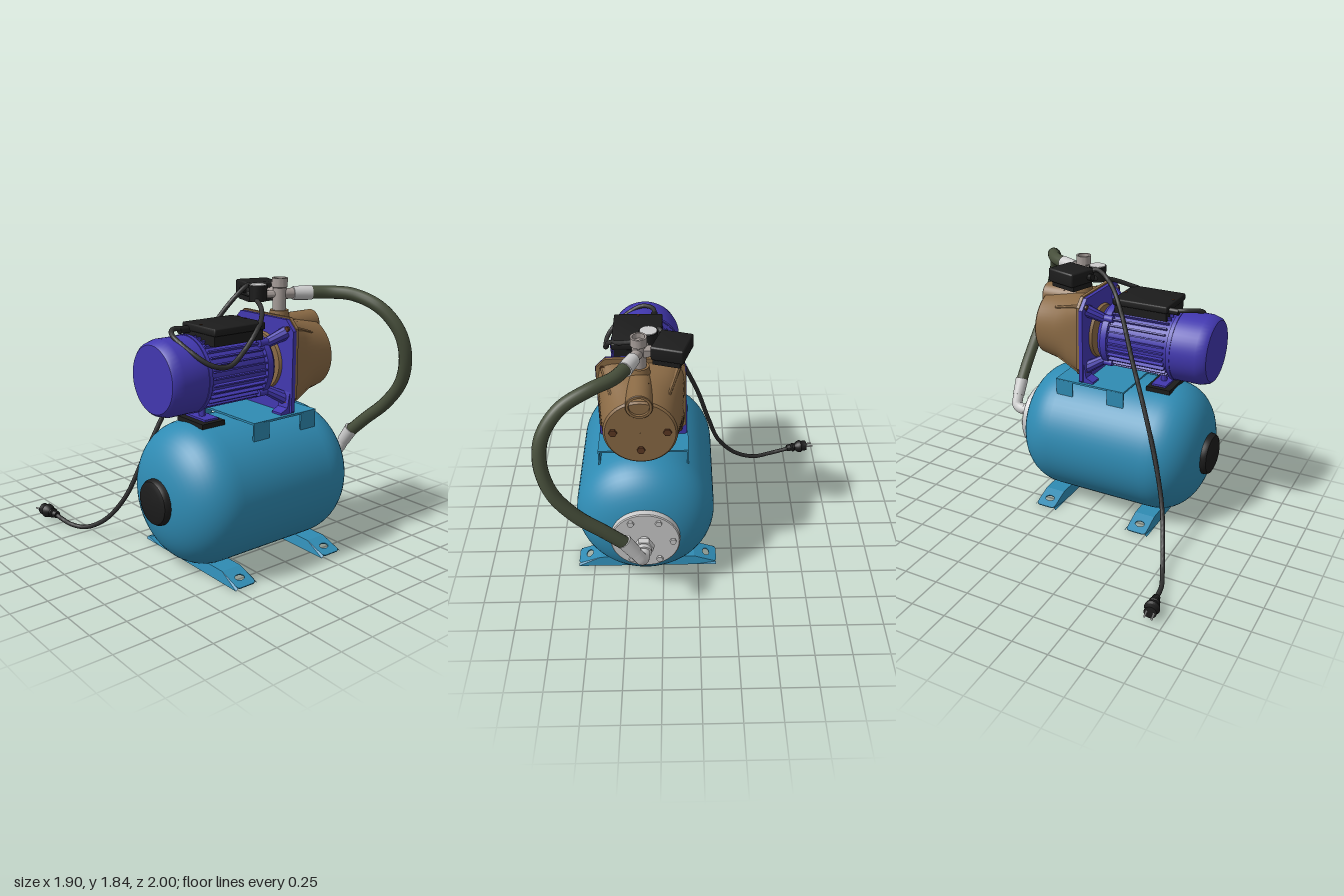
import * as THREE from 'three';
import { toCreasedNormals } from 'three/addons/utils/BufferGeometryUtils.js';
import { RoundedBoxGeometry } from 'three/addons/geometries/RoundedBoxGeometry.js';

const V = (x, y, z) => new THREE.Vector3(x, y, z);
const mat = (color) => new THREE.MeshStandardMaterial({ color, side: THREE.DoubleSide });
const ZC = 0.367, MY = 1.3; // shared centre line in z, motor axis height

export function createModel() {
  const root = new THREE.Group();
  const M = {
    tank: mat(0x2f8bb3), motor: mat(0x4238b0), bronze: mat(0x8a6a45), rust: mat(0x5c3822),
    black: mat(0x1c1c1c), cable: mat(0x303030), hose: mat(0x474f3b), grey: mat(0xcccccc), steel: mat(0xa59c98),
  };
  let parent = root;
  const part = (name) => {
    parent = new THREE.Group();
    parent.name = name;
    root.add(parent);
    return parent;
  };
  const add = (name, geo, m, x = 0, y = 0, z = 0) => {
    const mesh = new THREE.Mesh(toCreasedNormals(geo, 0.6), m);
    mesh.name = name;
    mesh.position.set(x, y, z);
    parent.add(mesh);
    return mesh;
  };
  const box = (name, m, w, h, d, x, y, z) => add(name, new THREE.BoxGeometry(w, h, d), m, x, y, z);
  // Turned part along x; profile is [x, radius] in rising x
  const turned = (name, m, profile, y, z = ZC, seg = 48) =>
    add(name, new THREE.LatheGeometry(profile.map(([x, r]) => new THREE.Vector2(r, x)), seg).rotateZ(-Math.PI / 2), m, 0, y, z);
  // Straight rod between two points
  const rod = (name, m, a, b, r, r2 = r, seg = 24) => {
    const d = b.clone().sub(a), mid = a.clone().add(b).multiplyScalar(0.5);
    const mesh = add(name, new THREE.CylinderGeometry(r2, r, d.length(), seg), m, mid.x, mid.y, mid.z);
    mesh.quaternion.setFromUnitVectors(V(0, 1, 0), d.normalize());
    return mesh;
  };
  const tube = (name, m, pts, r, seg = 100) =>
    add(name, new THREE.TubeGeometry(new THREE.CatmullRomCurve3(pts.map((p) => V(...p))), seg, r, 14), m);
  // Surface through a row of equal-length sections
  const skin = (sections) => {
    const n = sections[0].length, idx = [];
    for (let i = 0; i < sections.length - 1; i++)
      for (let j = 0; j < n - 1; j++) {
        const a = i * n + j;
        idx.push(a, a + 1, a + n, a + 1, a + n + 1, a + n);
      }
    const g = new THREE.BufferGeometry().setFromPoints(sections.flat());
    g.setIndex(idx);
    return g;
  };
  // Plate facing x, square with cut corners
  const plateX = (name, m, x, thick, half, y0, y1, cutTop, cutBottom) => {
    const s = new THREE.Shape([
      [-half + cutBottom, y0], [half - cutBottom, y0], [half, y0 + cutBottom], [half, y1 - cutTop],
      [half - cutTop, y1], [-half + cutTop, y1], [-half, y1 - cutTop], [-half, y0 + cutBottom],
    ].map((p) => new THREE.Vector2(...p)));
    add(name, new THREE.ExtrudeGeometry(s, { depth: thick, bevelEnabled: false }).rotateY(Math.PI / 2), m, x, 0, ZC);
  };

  // Pressure tank with domed ends
  part('pressureTank');
  const dome = (c, len, sign) => Array.from({ length: 15 }, (_, i) => {
    const t = (i / 14) * Math.PI / 2;
    return [c + sign * len * Math.pow(Math.cos(t), 0.9), 0.48 * Math.pow(Math.sin(t), 0.84)];
  });
  turned('tankShell', M.tank, [...dome(-0.43, 0.34, -1), ...dome(0.31, 0.34, 1).reverse()], 0.5, ZC, 72);
  turned('valveCover', M.black, [[-0.812, 0], [-0.812, 0.11], [-0.8, 0.14], [-0.78, 0.152], [-0.73, 0.152]], 0.5);

  // Two channel-shaped feet with bolt holes
  for (const fx of [-0.43, 0.32]) {
    part('tankFoot').position.set(fx, 0, ZC);
    const st = [[-0.5, 0.014], [-0.34, 0.07], [0.34, 0.07], [0.5, 0.014]];
    for (const s of [-1, 1])
      add('footSide', skin(st.map(([z, h]) => [V(s * 0.09, 0, z), V(s * 0.075, h, z)])), M.tank);
    box('footTop', M.tank, 0.15, 0.008, 0.68, 0, 0.066, 0);
    const tab = new THREE.Shape();
    tab.moveTo(-0.075, 0).lineTo(0.075, 0).lineTo(0.075, 0.14).quadraticCurveTo(0.075, 0.17, 0.045, 0.17)
      .lineTo(-0.045, 0.17).quadraticCurveTo(-0.075, 0.17, -0.075, 0.14);
    const hole = new THREE.Path();
    hole.absellipse(0, 0.09, 0.035, 0.025, 0, Math.PI * 2);
    tab.holes.push(hole);
    for (const turn of [0, Math.PI]) {
      const g = new THREE.ExtrudeGeometry(tab, { depth: 0.008, bevelEnabled: false });
      g.rotateX(Math.atan2(0.16, -0.056)).translate(0, 0.07, 0.34).rotateY(turn);
      add('footTab', g, M.tank);
    }
  }

  // Saddle bracket on the tank
  part('pumpBracket');
  box('bracketPlate', M.tank, 0.54, 0.014, 0.61, 0.048, 0.984, ZC);
  for (const s of [-1, 1])
    for (const x of [-0.157, 0.248]) box('bracketLeg', M.tank, 0.13, 0.125, 0.012, x, 0.922, ZC + s * 0.3);

  // Outlet flange with bolts, nut and elbow
  part('outletFlange');
  turned('flangeDisc', M.grey, [[0.62, 0], [0.62, 0.235], [0.662, 0.235], [0.668, 0.228], [0.668, 0]], 0.495, 0.36);
  for (let i = 0; i < 6; i++) {
    const a = i * Math.PI / 3, y = 0.495 + 0.187 * Math.sin(a), z = 0.36 + 0.187 * Math.cos(a);
    rod('flangeBolt', M.grey, V(0.66, y, z), V(0.685, y, z), 0.023, 0.023, 6);
  }
  rod('outletPipe', M.grey, V(0.65, 0.5, ZC), V(0.8, 0.5, ZC), 0.036);
  rod('unionNut', M.grey, V(0.71, 0.5, ZC), V(0.755, 0.5, ZC), 0.068, 0.068, 6);
  rod('unionCollar', M.grey, V(0.755, 0.5, ZC), V(0.785, 0.5, ZC), 0.052);
  tube('elbow', M.grey, [[0.77, 0.5, ZC], [0.82, 0.5, ZC], [0.862, 0.52, 0.376], [0.872, 0.57, 0.404], [0.874, 0.61, 0.428]], 0.042, 24);
  rod('lowerFerrule', M.grey, V(0.873, 0.59, 0.415), V(0.88, 0.7, 0.485), 0.045, 0.05);

  // Motor: rear cap, finned housing, front shield
  part('motor');
  turned('fanCover', M.motor, [[-0.78, 0], [-0.78, 0.215], [-0.765, 0.23], [-0.71, 0.246], [-0.5, 0.246], [-0.5, 0.2]], MY);
  turned('coverBand', M.motor, [[-0.53, 0.246], [-0.53, 0.251], [-0.505, 0.251], [-0.505, 0.246]], MY);
  turned('housing', M.motor, [[-0.52, 0.212], [-0.03, 0.212]], MY);
  for (let i = 0; i < 32; i++) {
    const fin = box('coolingFin', M.motor, 0.42, 0.03, 0.011, -0.26, 0, 0), a = i / 32 * Math.PI * 2;
    fin.position.set(-0.26, MY + 0.221 * Math.cos(a), ZC + 0.221 * Math.sin(a));
    fin.rotation.x = a;
  }
  turned('frontShield', M.motor, [[-0.05, 0.21], [-0.045, 0.236], [0.0, 0.236], [0.035, 0.205], [0.045, 0.1], [0.045, 0]], MY);
  for (let i = 0; i < 4; i++) {
    const a = Math.PI / 4 + i * Math.PI / 2, c = Math.cos(a), s = Math.sin(a);
    rod('lanternStrut', M.motor, V(-0.02, MY + 0.2 * c, ZC + 0.2 * s), V(0.12, MY + 0.31 * c, ZC + 0.31 * s), 0.032, 0.045, 10);
    rod('housingLug', M.motor, V(-0.07, MY + 0.232 * c, ZC + 0.232 * s), V(0.03, MY + 0.232 * c, ZC + 0.232 * s), 0.025, 0.025, 12);
  }
  plateX('mountPlate', M.motor, 0.105, 0.028, 0.297, 0.992, 1.605, 0.07, 0.012);
  for (const s of [-1, 1]) {
    const g = new THREE.ExtrudeGeometry(new THREE.Shape([[0.03, 0.99], [0.12, 0.99], [0.12, 1.17], [0.1, 1.12], [0.085, 1.03], [0.03, 1.005]]
      .map((p) => new THREE.Vector2(...p))), { depth: 0.09, bevelEnabled: false });
    add('frontFoot', g, M.motor, 0, 0, ZC + s * 0.235 - 0.045);
  }
  rod('rearLeg', M.motor, V(-0.4, 0.99, ZC), V(-0.4, 1.1, ZC), 0.022);
  box('rearLegPad', M.motor, 0.11, 0.014, 0.2, -0.4, 1.0, ZC);
  box('rubberPad', M.black, 0.18, 0.032, 0.27, -0.41, 0.978, ZC);

  // Terminal box on the motor
  part('terminalBox');
  box('terminalBase', M.black, 0.39, 0.08, 0.31, -0.25, 1.53, 0.4);
  add('terminalLid', new RoundedBoxGeometry(0.41, 0.05, 0.34, 2, 0.012), M.black, -0.25, 1.58, 0.4);
  for (const x of [-0.43, -0.07]) rod('lidScrew', M.rust, V(x, 1.6, 0.4), V(x, 1.608, 0.4), 0.01, 0.01, 8);
  rod('cableGland', M.black, V(-0.52, 1.565, 0.29), V(-0.43, 1.565, 0.29), 0.024);

  // Pump casing: square at the flange, round at the front
  part('pumpCasing');
  plateX('casingFlange', M.bronze, 0.132, 0.024, 0.292, 1.02, 1.615, 0.065, 0.07);
  const ring = (x, r, e) => Array.from({ length: 65 }, (_, i) => {
    const a = i / 64 * Math.PI * 2, c = Math.cos(a), s = Math.sin(a);
    const k = r / Math.pow(Math.abs(c) ** e + Math.abs(s) ** e, 1 / e);
    return V(x, MY + k * c, ZC + k * s);
  });
  add('casingBody', skin([ring(0.15, 0.283, 6), ring(0.25, 0.276, 3.4), ring(0.36, 0.262, 2.2), ring(0.52, 0.238, 2),
    ring(0.532, 0.225, 2), ring(0.532, 0.001, 2)]), M.bronze);
  turned('inletPort', M.bronze, [[0.2, 0.086], [0.545, 0.086], [0.55, 0.082], [0.55, 0.066], [0.5, 0.064], [0.5, 0]], 1.51);
  for (let i = 0; i < 4; i++) {
    const a = Math.PI / 4 + i * Math.PI / 2, c = Math.cos(a), s = Math.sin(a);
    rod('casingRib', M.bronze, V(0.15, MY + 0.345 * c, ZC + 0.345 * s), V(0.44, MY + 0.23 * c, ZC + 0.23 * s), 0.02, 0.012, 8);
    rod('flangeBolt', M.rust, V(0.09, MY + 0.35 * c, ZC + 0.35 * s), V(0.165, MY + 0.35 * c, ZC + 0.35 * s), 0.018, 0.018, 6);
  }
  for (const [y, z] of [[1.31, 0.54], [1.31, 0.195], [1.17, ZC]])
    rod('drainPlug', M.rust, V(0.52, y, z), V(0.547, y, z), 0.027, 0.027, 6);
  rod('topPlug', M.rust, V(0.38, 1.54, 0.33), V(0.38, 1.575, 0.33), 0.024, 0.024, 6);
  rod('outletBoss', M.bronze, V(0.25, 1.5, ZC), V(0.25, 1.625, ZC), 0.075, 0.062);
  turned('casingBack', M.bronze, [[0.085, 0], [0.085, 0.19], [0.11, 0.2]], MY);
  rod('shaftSeal', M.bronze, V(0.03, MY, ZC), V(0.1, MY, ZC), 0.04, 0.06);

  // Outlet fitting with branches, gauge and pressure switch
  part('outletFitting');
  const hub = V(0.25, 1.73, ZC);
  rod('riser', M.steel, V(0.25, 1.6, ZC), V(0.25, 1.79, ZC), 0.045);
  add('riserCollar', new THREE.LatheGeometry([[0.044, 0], [0.053, 0.006], [0.053, 0.066], [0.04, 0.066], [0.04, 0.03], [0, 0.03]]
    .map((p) => new THREE.Vector2(...p)), 32), M.steel, 0.25, 1.772, ZC);
  rod('hoseBranch', M.steel, hub, V(0.36, 1.73, 0.408), 0.036);
  rod('upperFerrule', M.grey, V(0.34, 1.73, 0.4), V(0.46, 1.73, 0.448), 0.045, 0.05);
  rod('gaugeBranch', M.steel, hub, V(0.12, 1.73, 0.315), 0.024);
  rod('switchBranch', M.steel, hub, V(0.245, 1.73, 0.24), 0.032);
  rod('switchNut', M.steel, V(0.25, 1.73, 0.34), V(0.247, 1.73, 0.285), 0.05, 0.04, 6);
  part('pressureGauge');
  rod('gaugeCase', M.black, V(0.11, 1.69, 0.31), V(0.11, 1.795, 0.31), 0.058, 0.062, 32);
  rod('gaugeFace', M.grey, V(0.11, 1.79, 0.31), V(0.11, 1.8, 0.31), 0.056, 0.056, 32);
  const sw = part('pressureSwitch');
  sw.position.set(0.237, 1.735, 0.158);
  sw.rotation.y = -0.3;
  add('switchCover', new RoundedBoxGeometry(0.235, 0.095, 0.215, 2, 0.012), M.black, 0, 0.018, 0);
  box('switchBase', M.black, 0.21, 0.05, 0.18, 0, -0.04, 0.008);
  rod('switchGland', M.black, V(-0.1, 0.01, 0.06), V(-0.15, 0.02, 0.06), 0.022);

  // Flexible hose and electric cables
  part('hoseAndCables');
  tube('hose', M.hose, [[0.44, 1.73, 0.44], [0.56, 1.73, 0.515], [0.66, 1.72, 0.65], [0.74, 1.645, 0.82], [0.81, 1.5, 0.93],
    [0.86, 1.33, 0.955], [0.9, 1.13, 0.9], [0.91, 0.95, 0.765], [0.895, 0.8, 0.6], [0.88, 0.68, 0.475]], 0.044);
  tube('motorCable', M.cable, [[-0.46, 1.565, 0.29], [-0.57, 1.58, 0.3], [-0.64, 1.56, 0.39], [-0.61, 1.48, 0.53], [-0.52, 1.4, 0.625],
    [-0.4, 1.38, 0.64], [-0.27, 1.45, 0.62], [-0.14, 1.56, 0.59], [-0.02, 1.63, 0.5], [0.05, 1.68, 0.4], [0.11, 1.73, 0.22]], 0.016);
  tube('mainsCable', M.cable, [[0.14, 1.76, 0.19], [0.08, 1.79, 0.24], [-0.03, 1.71, 0.23], [-0.14, 1.55, 0.17], [-0.28, 1.25, 0.07],
    [-0.42, 0.95, -0.02], [-0.55, 0.62, -0.1], [-0.65, 0.33, -0.19], [-0.73, 0.13, -0.34], [-0.8, 0.035, -0.5],
    [-0.85, 0.025, -0.63], [-0.88, 0.05, -0.79]], 0.016, 140);

  // Mains plug with ribbed grip and two pins
  const plug = part('mainsPlug');
  plug.position.set(-0.88, 0.055, -0.78);
  plug.quaternion.setFromUnitVectors(V(0, 1, 0), V(-0.17, 0.03, -0.98).normalize());
  const profile = [[0, 0], [0.025, 0], [0.03, 0.03], [0.022, 0.035], [0.036, 0.045], [0.036, 0.06], [0.026, 0.066],
    [0.046, 0.09], [0.052, 0.115], [0.042, 0.13], [0.042, 0.165], [0, 0.165]];
  add('plugBody', new THREE.LatheGeometry(profile.map((p) => new THREE.Vector2(...p)), 24), M.black);
  for (const s of [-1, 1]) rod('plugPin', M.grey, V(s * 0.024, 0.16, 0), V(s * 0.024, 0.222, 0), 0.007, 0.006, 10);

  return root;
}
